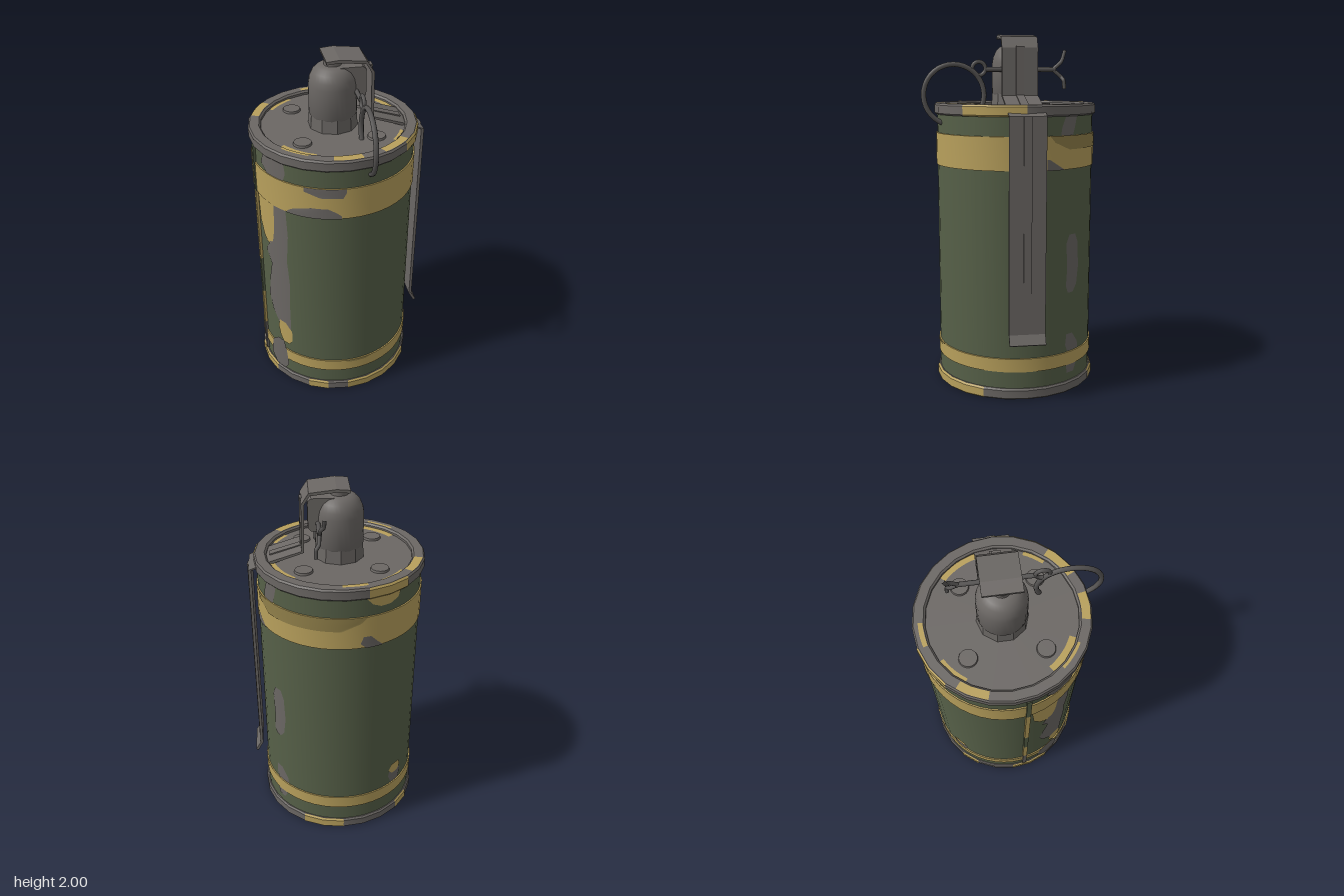
import * as THREE from 'three';
import { toCreasedNormals } from 'three/addons/utils/BufferGeometryUtils.js';

const mat = (name, color) => Object.assign(new THREE.MeshStandardMaterial({ color }), { name });
const V2 = (a) => a.map(([x, y]) => new THREE.Vector2(x, y));
const V3 = (a) => a.map((p) => new THREE.Vector3(...p));
const rad = THREE.MathUtils.degToRad;

export function createModel() {
  const green = mat('olive green', 0x566048);
  const tan = mat('tan paint', 0xb8a05c);
  const darkTan = mat('worn tan paint', 0x91804a);
  const metal = mat('grey metal', 0x6b6764);
  const dark = mat('dark steel', 0x555352);

  const root = new THREE.Group();
  const can = new THREE.Group(); // everything that shares the can's axis
  can.name = 'can';
  can.position.set(-0.03, 0, -0.04);
  root.add(can);

  const add = (parent, name, geo, material, pos = [0, 0, 0]) => {
    const m = new THREE.Mesh(geo, material);
    m.name = name;
    m.position.set(...pos);
    parent.add(m);
    return m;
  };
  const lathe = (name, pts, material, seg = 24, from = 0, to = 360) => add(can, name,
    toCreasedNormals(new THREE.LatheGeometry(V2(pts), seg, rad(from), rad(to - from)), 0.6), material);

  // Body, painted bands and recessed base
  lathe('body', [[0.447, 0.05], [0.447, 1.57]], green, 48);
  lathe('lowerBand', [[0.445, 0.157], [0.454, 0.158], [0.454, 0.234], [0.445, 0.235]], tan, 48);
  lathe('upperBand', [[0.445, 1.272], [0.454, 1.273], [0.454, 1.454], [0.445, 1.455]], tan, 48);
  lathe('basePlate', [[0, 0.035], [0.405, 0.035]], green);

  // Rolled rims
  const bottomRim = [[0.405, 0.04], [0.405, 0.008], [0.415, 0], [0.454, 0], [0.462, 0.008],
    [0.462, 0.052], [0.454, 0.062], [0.44, 0.062]];
  const topRim = [[0.44, 1.557], [0.454, 1.557], [0.462, 1.565], [0.462, 1.61], [0.454, 1.62],
    [0.404, 1.62], [0.394, 1.61], [0.394, 1.595]];
  lathe('bottomRim', bottomRim, metal);
  lathe('topRim', topRim, metal);

  // Lid and rivets
  lathe('lid', [[0.396, 1.597], [0, 1.597]], metal);
  for (const x of [-1, 1]) for (const z of [-1, 1]) {
    add(can, 'rivet', new THREE.CylinderGeometry(0.047, 0.05, 0.012, 20), metal, [x * 0.198, 1.603, z * 0.198]);
  }

  // Worn paint on rim edges: thin arcs over the same facets
  const arcs = (name, profile, list) => {
    const skin = profile.map(([r, y]) => [r + 0.0025, y]);
    for (const [a, b] of list) lathe(name, skin, tan, (b - a) / 15, a, b);
  };
  arcs('topRimPaint', topRim.slice(1, 5), [[45, 90], [195, 225]]);
  arcs('bottomRimPaint', bottomRim.slice(3, 7), [[0, 60], [-30, -15], [150, 180], [225, 240], [270, 300]]);

  // Worn paint on the rim top and on the lid: [start angle, end angle, inner radius, outer radius]
  const flatPaint = (name, y, list) => list.forEach(([a, b, r0, r1]) => {
    const g = new THREE.RingGeometry(r0, r1, 8, 1, rad(a - 90), rad(b - a));
    add(can, name, g, tan, [0, y, 0]).rotation.x = -Math.PI / 2;
  });
  flatPaint('rimTopPaint', 1.6225, [[-10, 10, 0.405, 0.45], [26, 50, 0.405, 0.45], [-128, -106, 0.405, 0.45],
    [-50, -28, 0.405, 0.42], [178, 196, 0.405, 0.43]]);
  flatPaint('lidPaint', 1.6, [[-56, -24, 0.355, 0.392], [104, 138, 0.36, 0.392], [-150, -125, 0.37, 0.392],
    [48, 66, 0.37, 0.392]]);

  // Wrapped paint patch: rows of [height, start angle, end angle] from the top down
  const patch = (name, rows, material, r = 0.45) => {
    const n = 24;
    const g = new THREE.PlaneGeometry(1, 1, n, rows.length - 1);
    const p = g.attributes.position;
    for (let i = 0; i < p.count; i++) {
      const [y, a, b] = rows[Math.floor(i / (n + 1))];
      const t = rad(a + (b - a) * (i % (n + 1)) / n);
      p.setXYZ(i, r * Math.sin(t), y, r * Math.cos(t));
    }
    g.computeVertexNormals();
    add(can, name, g, material);
  };
  // Chips on the side of the can
  patch('chip', [[1.56, -65, -45], [1.5, -68, -44], [1.455, -62, -46]], metal);
  patch('chip', [[1.27, -56, -45], [1.1, -57, -44], [1.0, -63, -45], [0.93, -68, -46], [0.85, -62, -45],
    [0.75, -65, -44], [0.6, -68, -45], [0.5, -64, -45], [0.44, -58, -45], [0.3, -52, -46]], metal);
  patch('tanChip', [[1.27, -77, -56], [1.1, -75, -57], [1.02, -70, -59], [0.99, -66, -63]], tan);
  patch('tanChip', [[0.45, -56, -50], [0.4, -58, -44], [0.33, -56, -44], [0.29, -53, -47]], tan, 0.452);
  patch('chip', [[0.3, -58, -52], [0.24, -66, -50], [0.12, -68, -48], [0.07, -62, -52]], metal, 0.457);
  patch('chip', [[0.91, 124, 130], [0.86, 121, 133], [0.72, 122, 134], [0.62, 121, 132], [0.58, 123, 128]], metal);
  patch('chip', [[0.34, 122, 128], [0.28, 121, 134], [0.24, 123, 135]], metal);
  patch('chip', [[0.157, 122, 133], [0.11, 123, 130]], metal);
  patch('chip', [[1.556, 119, 130], [1.5, 116, 128], [1.455, 115, 126]], metal);
  patch('chip', [[0.37, -140, -133], [0.3, -143, -129], [0.24, -140, -131]], metal);
  patch('tanChip', [[0.38, -140, -132], [0.34, -143, -130], [0.31, -139, -133]], tan, 0.452);
  patch('tanChip', [[1.556, -166, -140], [1.52, -162, -142], [1.5, -156, -148]], tan);
  // Chips on the bands
  patch('bandChip', [[1.455, -30, -2], [1.43, -30, -2], [1.4, -19, -4]], metal, 0.457);
  patch('bandChip', [[1.335, -25, -14], [1.31, -38, -8], [1.29, -42, -5], [1.272, -44, -5]], metal, 0.457);
  patch('bandChip', [[1.34, -168, -163], [1.3, -170, -158], [1.272, -166, -154]], metal, 0.457);
  patch('bandChip', [[1.33, 104, 106], [1.3, 104, 112], [1.272, 104, 118]], metal, 0.457);
  patch('wornBand', [[1.455, 106, 195], [1.42, 110, 190], [1.38, 122, 178]], darkTan, 0.457);
  patch('bandChip', [[0.235, -4, 20], [0.222, 2, 14]], darkTan, 0.457);

  // Vertical seam with worn spots
  const seam = new THREE.Group();
  seam.name = 'seam';
  seam.rotation.y = rad(-80);
  can.add(seam);
  [[0.08, 0.3, metal], [0.3, 0.55, tan], [0.55, 0.8, green], [0.8, 1.27, tan], [1.27, 1.55, green]].forEach(([a, b, m]) =>
    add(seam, 'seamStrip', new THREE.BoxGeometry(0.026, b - a, 0.02), m, [0, (a + b) / 2, 0.45]));

  // Fuze housing: faceted collar, dome and cap
  add(can, 'fuzeCollar', toCreasedNormals(new THREE.CylinderGeometry(0.13, 0.136, 0.08, 10), 0.3), metal, [0, 1.635, 0]);
  lathe('fuzeDome', [[0.122, 1.66], [0.13, 1.675], [0.13, 1.84], [0.124, 1.875], [0.108, 1.91], [0.085, 1.933],
    [0.06, 1.942], [0, 1.942]], metal, 32);
  lathe('fuzeCap', [[0.048, 1.94], [0.048, 1.965], [0.04, 1.975], [0, 1.975]], metal, 16);

  // Extrudes a side-on shape along z, centred on the lever line
  const slab = (name, shape, width) => {
    const g = new THREE.ExtrudeGeometry(shape, { depth: width, bevelEnabled: false });
    g.translate(0, 0, -0.04 - width / 2);
    add(root, name, g, metal);
  };
  slab('leverBracket', new THREE.Shape(V2([[0, 1.94], [0.12, 1.94], [0.138, 1.925], [0.138, 1.78],
    [0.12, 1.76], [0, 1.76]])), 0.13);

  // Safety lever: bent strip with a raised central rib
  const strip = (pts, lo, hi) => {
    const p = V2(pts);
    const side = (d) => p.map((q, i) => {
      const a = p[Math.max(i - 1, 0)], b = p[Math.min(i + 1, p.length - 1)];
      const t = b.clone().sub(a).normalize();
      return new THREE.Vector2(q.x - t.y * d, q.y + t.x * d);
    });
    return new THREE.Shape([...side(lo), ...side(hi).reverse()]);
  };
  slab('lever', strip([[-0.08, 1.985], [-0.01, 1.991], [0.13, 1.975], [0.165, 1.92], [0.168, 1.66], [0.34, 1.603],
    [0.452, 1.562], [0.447, 0.385], [0.478, 0.33]], -0.008, 0.008), 0.2);
  slab('leverRib', strip([[0.165, 1.93], [0.168, 1.66], [0.34, 1.603]], 0, 0.015), 0.044);
  slab('leverRib', strip([[0.452, 1.56], [0.447, 0.39]], 0, 0.015), 0.044);

  // Cotter pin with splayed legs, eye and pull ring
  const shaft = add(root, 'pinShaft', new THREE.CylinderGeometry(0.013, 0.013, 0.4, 10), dark, [0.085, 1.805, -0.055]);
  shaft.rotation.x = Math.PI / 2;
  const leg = (pts) => add(root, 'pinLeg',
    new THREE.TubeGeometry(new THREE.CatmullRomCurve3(V3(pts), false, 'catmullrom', 0.1), 16, 0.011, 8), dark);
  leg([[0.085, 1.805, -0.24], [0.08, 1.845, -0.285], [0.065, 1.865, -0.298], [0.062, 1.912, -0.312]]);
  leg([[0.085, 1.805, -0.24], [0.09, 1.765, -0.285], [0.105, 1.745, -0.298], [0.106, 1.698, -0.302]]);
  const ring = (name, r, t, y, z) => {
    add(root, name, new THREE.TorusGeometry(r, t, 8, 36), dark, [0.085, y, z]).rotation.y = Math.PI / 2;
  };
  ring('pinEye', 0.037, 0.011, 1.81, 0.178);
  ring('pullRing', 0.168, 0.014, 1.665, 0.318);

  return root;
}
